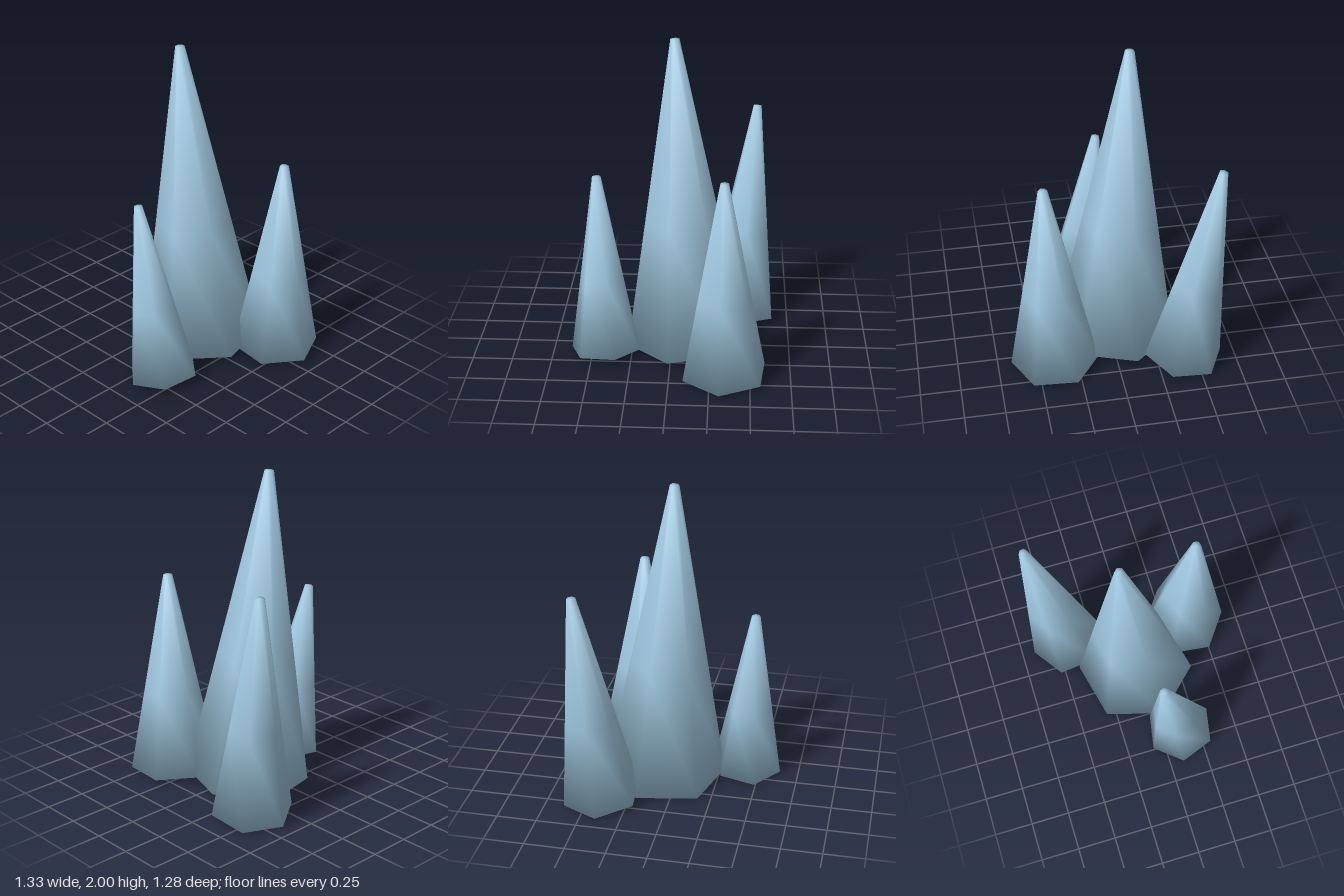
import * as THREE from 'three';

const SIDES = 6;
const TIP_RADIUS = 0.028;

// Hexagonal tapered shard: base centre, tip centre, base radius, angle of one corner (degrees, x towards z)
const SHARDS = [
  { name: 'mainCrystal', base: [-0.032, 0.032, -0.095], tip: [-0.136, 2.0, -0.01], radius: 0.385, corner: 16.8 },
  { name: 'leftCrystal', base: [0.39, 0.03, -0.339], tip: [0.434, 1.3, -0.325], radius: 0.276, corner: 6.1 },
  { name: 'rightCrystal', base: [-0.419, 0.04, -0.421], tip: [-0.592, 1.435, -0.523], radius: 0.251, corner: -3.7 },
  { name: 'frontCrystal', base: [0.131, 0.035, 0.416], tip: [-0.012, 1.155, 0.468], radius: 0.224, corner: -19.4 },
];

function shardGeometry(radius, height, corner) {
  const slope = (radius - TIP_RADIUS) / height;
  const mid = 0.41;
  // Profile points with the normals that round the shading over base and tip
  const rings = [
    { r: 0, y: 0, n: [0, -1] },
    { r: radius, y: 0, n: [0.8, -0.6] },
    { r: THREE.MathUtils.lerp(radius, TIP_RADIUS, mid), y: height * mid, n: [1, slope] },
    { r: TIP_RADIUS, y: height, n: [0.8, 0.6] },
    { r: 0, y: height, n: [0, 1] },
  ];
  const start = Math.PI / 2 - THREE.MathUtils.degToRad(corner);
  const geometry = new THREE.LatheGeometry(rings.map(p => new THREE.Vector2(p.r, p.y)), SIDES, start);
  const normals = geometry.attributes.normal;
  const v = new THREE.Vector3();
  for (let i = 0; i < normals.count; i++) {
    const [out, up] = rings[i % rings.length].n;
    const phi = start + Math.floor(i / rings.length) * (2 * Math.PI / SIDES);
    v.set(out * Math.sin(phi), up, out * Math.cos(phi)).normalize();
    normals.setXYZ(i, v.x, v.y, v.z);
  }
  return geometry;
}

export function createModel() {
  const group = new THREE.Group();
  group.name = 'crystalCluster';
  const ice = new THREE.MeshStandardMaterial({ color: 0xa0c8e0 });
  ice.name = 'iceBlue';

  // Each shard leans along its own axis, with the base square to it
  for (const s of SHARDS) {
    const base = new THREE.Vector3(...s.base);
    const axis = new THREE.Vector3(...s.tip).sub(base);
    const height = axis.length();
    const mesh = new THREE.Mesh(shardGeometry(s.radius, height, s.corner), ice);
    mesh.name = s.name;
    mesh.position.copy(base);
    mesh.quaternion.setFromUnitVectors(new THREE.Vector3(0, 1, 0), axis.normalize());
    group.add(mesh);
  }
  return group;
}
